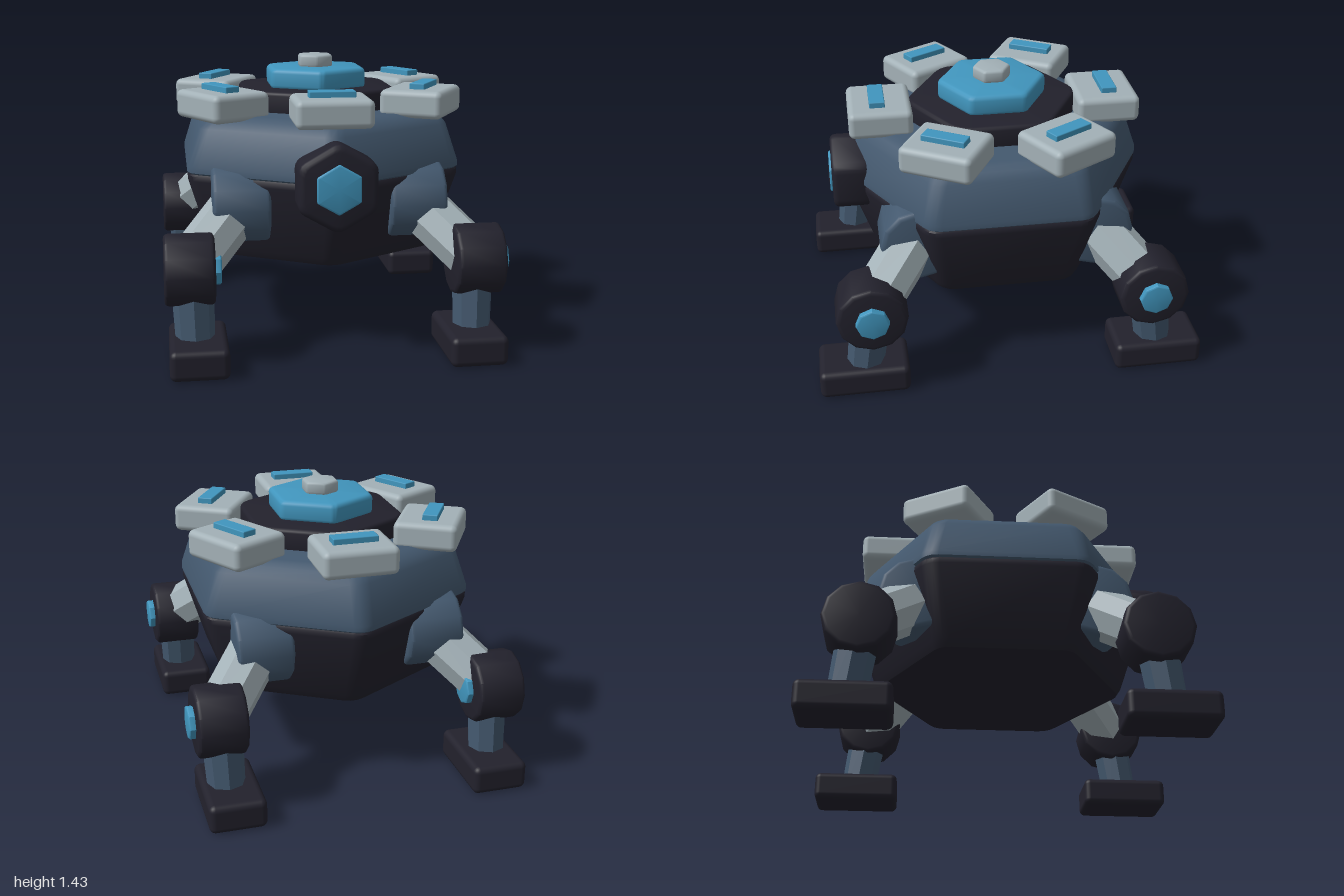
import * as THREE from 'three';
import { toCreasedNormals } from 'three/addons/utils/BufferGeometryUtils.js';
import { RoundedBoxGeometry } from 'three/addons/geometries/RoundedBoxGeometry.js';

const mat = (name, color) => {
  const m = new THREE.MeshStandardMaterial({ color });
  m.name = name;
  return m;
};

// Polygon outline with filleted corners; first corner points to +z
function outline(sides, apothem, fillet) {
  const half = Math.PI / sides;
  const reach = (apothem - fillet) / Math.cos(half);
  const points = [];
  for (let k = 0; k < sides; k++) {
    const a = k * 2 * half;
    for (const j of fillet ? [-1, -1 / 3, 1 / 3, 1] : [0]) {
      const b = a + j * half;
      points.push([reach * Math.sin(a) + fillet * Math.sin(b), reach * Math.cos(a) + fillet * Math.cos(b)]);
    }
  }
  return points;
}

// Closed prism lofted through a profile of [apothem, y] pairs, bottom to top
function prism(sides, profile, fillet = 0, crease = 0.65) {
  const pos = [], idx = [];
  for (const [r, y] of profile) for (const [x, z] of outline(sides, r, fillet)) pos.push(x, y, z);
  const n = pos.length / 3 / profile.length;
  const last = profile.length - 1;
  const bottom = pos.length / 3, top = bottom + 1;
  pos.push(0, profile[0][1], 0, 0, profile[last][1], 0);
  for (let i = 0; i < n; i++) {
    const k = (i + 1) % n;
    for (let j = 0; j < last; j++) {
      const a = j * n + i, b = j * n + k;
      idx.push(a, b, b + n, a, b + n, a + n);
    }
    idx.push(bottom, k, i, top, last * n + i, last * n + k);
  }
  const g = new THREE.BufferGeometry();
  g.setAttribute('position', new THREE.Float32BufferAttribute(pos, 3));
  g.setIndex(idx);
  return toCreasedNormals(g, crease);
}

// Profile with rounded rims, from y0 to y1
function rounded(r, y0, y1, b) {
  const low = [], high = [];
  for (let i = 0; i <= 3; i++) {
    const t = (i * Math.PI) / 6;
    const inset = b * (1 - Math.sin(t)), rise = b * (1 - Math.cos(t));
    low.push([r - inset, y0 + rise]);
    high.unshift([r - inset, y1 - rise]);
  }
  return [...low, ...high];
}

// Straight limb between two points
function limb(from, to, r0, r1, sides, material) {
  const a = new THREE.Vector3(...from), b = new THREE.Vector3(...to);
  const dir = b.clone().sub(a);
  const mesh = new THREE.Mesh(prism(sides, [[r0, 0], [r1, dir.length()]]), material);
  mesh.position.copy(a);
  mesh.quaternion.setFromUnitVectors(new THREE.Vector3(0, 1, 0), dir.normalize());
  return mesh;
}

export function createModel() {
  const dark = mat('charcoal', 0x22212c);
  const slate = mat('slate blue', 0x43586e);
  const light = mat('light grey', 0xa3b1b7);
  const blue = mat('bright blue', 0x4196be);

  const model = new THREE.Group();
  model.name = 'walker';
  const add = (name, mesh, parent = model) => {
    mesh.name = name;
    parent.add(mesh);
    return mesh;
  };

  // Hexagonal hull in two halves
  add('lowerHull', new THREE.Mesh(prism(6,
    [[0.535, 0.43], [0.57, 0.44], [0.592, 0.48], [0.7, 0.84], [0.7, 0.865], [0.69, 0.88]], 0.1), dark));
  add('upperHull', new THREE.Mesh(prism(6,
    [[0.69, 0.87], [0.704, 0.882], [0.703, 0.91], [0.645, 1.1], [0.61, 1.145], [0.55, 1.165]], 0.1, 0.7), slate));

  // Stacked top deck
  add('deck', new THREE.Mesh(prism(6, rounded(0.4, 1.14, 1.272, 0.02), 0.12), dark));
  add('dome', new THREE.Mesh(prism(6, rounded(0.25, 1.26, 1.372, 0.025), 0.04), blue));
  add('cap', new THREE.Mesh(prism(6, rounded(0.087, 1.365, 1.435, 0.015), 0.02), light));

  // Ring of six pods with light strips
  const podGeo = new RoundedBoxGeometry(0.385, 0.142, 0.33, 3, 0.032);
  const stripGeo = new RoundedBoxGeometry(0.23, 0.05, 0.08, 1, 0.005);
  for (let i = 0; i < 6; i++) {
    const pod = add('pod', new THREE.Group());
    pod.rotation.y = (i * Math.PI) / 3;
    add('podShell', new THREE.Mesh(podGeo, light), pod).position.set(0, 1.214, 0.595);
    add('podStrip', new THREE.Mesh(stripGeo, blue), pod).position.set(0, 1.29, 0.608);
  }

  // Front sensor
  const sensor = add('sensor', new THREE.Group());
  sensor.rotation.x = Math.PI / 2;
  sensor.position.y = 0.875;
  add('sensorHousing', new THREE.Mesh(prism(6, rounded(0.193, 0.66, 0.864, 0.03), 0.06), dark), sensor);
  add('sensorLens', new THREE.Mesh(prism(6, rounded(0.107, 0.84, 0.877, 0.008), 0.012), blue), sensor);

  // Four legs; the knee light always sits on the +x side
  const hipGeo = prism(12, rounded(0.192, -0.145, 0.145, 0.025)).rotateZ(-Math.PI / 2);
  const kneeGeo = prism(12, rounded(0.174, -0.123, 0.123, 0.022)).rotateZ(-Math.PI / 2);
  const lightGeo = prism(8, rounded(0.078, 0.1, 0.155, 0.008)).rotateZ(-Math.PI / 2);
  const footGeo = new RoundedBoxGeometry(0.285, 0.15, 0.46, 3, 0.032);
  for (const sx of [-1, 1]) {
    for (const sz of [-1, 1]) {
      const leg = add(`${sz > 0 ? 'front' : 'back'}${sx > 0 ? 'Left' : 'Right'}Leg`, new THREE.Group());
      const at = (x, y, z) => [sx * x, y, sz * z];
      const hip = at(0.445, 0.73, 0.45), knee = at(0.712, 0.473, 0.716);
      add('hip', new THREE.Mesh(hipGeo, slate), leg).position.set(...hip);
      add('upperLeg', limb(hip, knee, 0.125, 0.122, 8, light), leg);
      add('knee', new THREE.Mesh(kneeGeo, dark), leg).position.set(...knee);
      add('kneeLight', new THREE.Mesh(lightGeo, blue), leg).position.set(...knee);
      add('shin', limb(at(0.69, 0.08, 0.767), at(0.7, 0.45, 0.716), 0.087, 0.098, 8, slate), leg);
      add('foot', new THREE.Mesh(footGeo, dark), leg).position.set(...at(0.677, 0.075, 0.77));
    }
  }

  model.position.x = -0.016;
  const root = new THREE.Group();
  root.name = 'hexWalker';
  root.add(model);
  return root;
}
